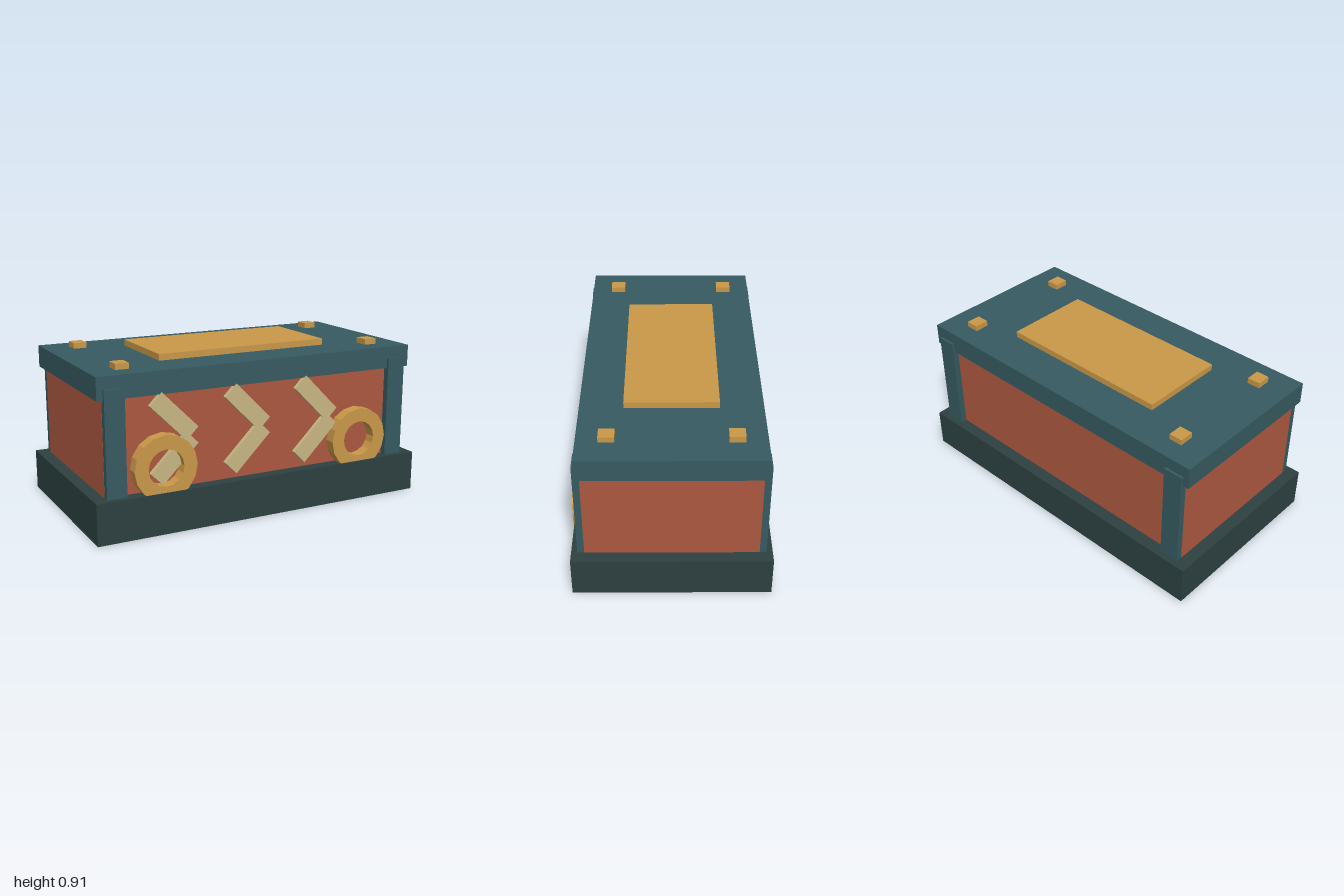
import * as THREE from 'three';

const paint = (name, color) => {
  const m = new THREE.MeshStandardMaterial({ color });
  m.name = name;
  return m;
};

export function createModel() {
  const group = new THREE.Group();
  const charcoal = paint('charcoal', 0x2d4040);
  const teal = paint('teal', 0x365a60);
  const red = paint('brick red', 0xac5840);
  const gold = paint('gold', 0xc99848);
  const cream = paint('cream', 0xc9b683);

  const add = (name, geometry, material, x, y, z) => {
    const mesh = new THREE.Mesh(geometry, material);
    mesh.name = name;
    mesh.position.set(x, y, z);
    group.add(mesh);
    return mesh;
  };
  // Box given by its size and the height of its underside
  const block = (name, w, h, d, material, x, bottom, z) =>
    add(name, new THREE.BoxGeometry(w, h, d), material, x, bottom + h / 2, z);

  // Plinth, body and lid
  block('base', 2, 0.23, 1.07, charcoal, 0, 0, 0);
  block('body', 1.862, 0.53, 0.93, red, 0, 0.225, 0);
  block('lid', 1.93, 0.125, 0.976, teal, 0, 0.753, 0);
  block('lidPlate', 1.04, 0.036, 0.506, gold, 0, 0.878, 0);

  // End frames whose edges form the corner posts, and lid studs
  for (const sx of [-1, 1]) {
    block('endFrame', 0.112, 0.585, 1.004, teal, sx * 0.874, 0.225, 0);
    for (const sz of [-1, 1]) {
      block('lidStud', 0.076, 0.032, 0.084, gold, sx * 0.778, 0.878, sz * 0.33);
    }
  }

  // Chevrons made of two crossed bars
  for (const x of [-0.541, -0.104, 0.334]) {
    for (const s of [-1, 1]) {
      const bar = add('chevronBar', new THREE.BoxGeometry(0.293, 0.097, 0.04), cream,
        x, 0.512 + s * 0.114, 0.472);
      bar.rotation.z = -s * Math.PI / 4;
    }
  }

  // Faceted rings on the front
  const circle = (r, n) => Array.from({ length: n }, (_, i) =>
    new THREE.Vector2(r * Math.cos(i * 2 * Math.PI / n), r * Math.sin(i * 2 * Math.PI / n)));
  const ringShape = new THREE.Shape(circle(0.18, 16));
  ringShape.holes.push(new THREE.Path(circle(0.102, 16)));
  const ringGeometry = new THREE.ExtrudeGeometry(ringShape, { depth: 0.07, bevelEnabled: false });
  for (const sx of [-1, 1]) add('frontRing', ringGeometry, gold, sx * 0.607, 0.365, 0.46);

  return group;
}
